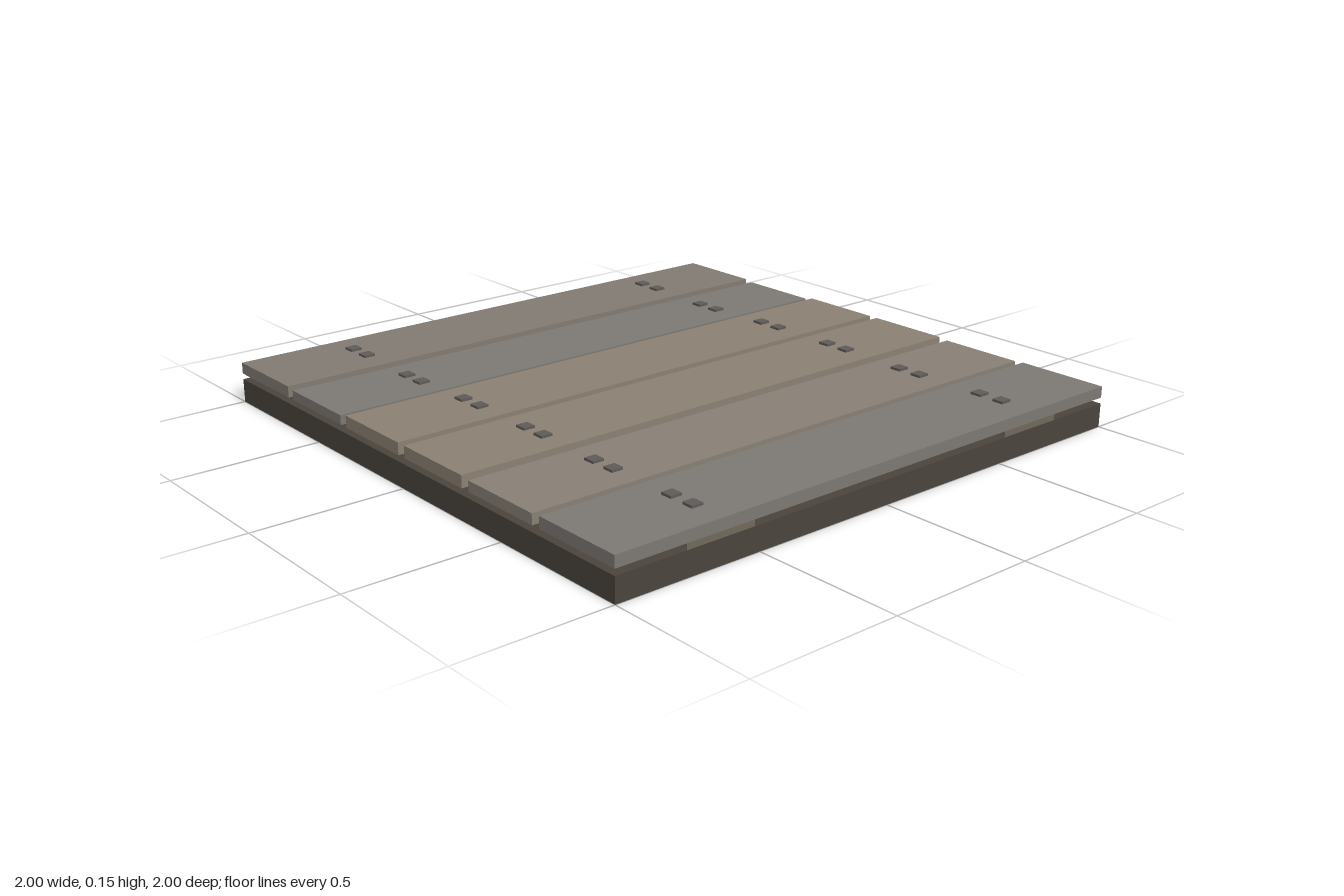
import * as THREE from 'three';

export function createModel() {
  const model = new THREE.Group();
  model.name = 'plankFloor';

  // Box given by its min and max corners
  function box(name, color, [x0, y0, z0], [x1, y1, z1], parent = model) {
    const mesh = new THREE.Mesh(
      new THREE.BoxGeometry(x1 - x0, y1 - y0, z1 - z0),
      new THREE.MeshStandardMaterial({ color })
    );
    mesh.name = name;
    mesh.position.set((x0 + x1) / 2, (y0 + y1) / 2, (z0 + z1) / 2);
    parent.add(mesh);
    return mesh;
  }

  // Dark base slab
  box('base', 0x4a443d, [-1, 0, -1], [1, 0.08, 1]);

  // Two joists running front to back
  for (const side of [-1, 1]) {
    box(side > 0 ? 'leftJoist' : 'rightJoist', 0x71685a,
      [side * 0.64 - 0.12, 0.08, -1], [side * 0.64 + 0.12, 0.11, 1]);
  }

  // Planks from back to front: z start, z end, top height, colour
  const planks = [
    [-1, -0.683, 0.138, 0x827b73],
    [-0.652, -0.352, 0.132, 0x7d7873],
    [-0.319, -0.019, 0.14, 0x8a8173],
    [0.014, 0.314, 0.14, 0x8a8173],
    [0.348, 0.648, 0.135, 0x888075],
    [0.68, 1, 0.138, 0x7d7873],
  ];
  planks.forEach(([z0, z1, top, color], i) => {
    const group = new THREE.Group();
    group.name = `plank${i + 1}`;
    model.add(group);
    box('board', color, [-1, 0.1, z0], [1, top, z1], group);

    // A pair of square nail heads over each joist
    const mid = (z0 + z1) / 2;
    for (const x of [-0.64, 0.64]) {
      for (const z of [mid - 0.044, mid + 0.044]) {
        box('nailHead', 0x5f5a58,
          [x - 0.02, top - 0.005, z - 0.02], [x + 0.02, top + 0.008, z + 0.02], group);
      }
    }
  });

  return model;
}
